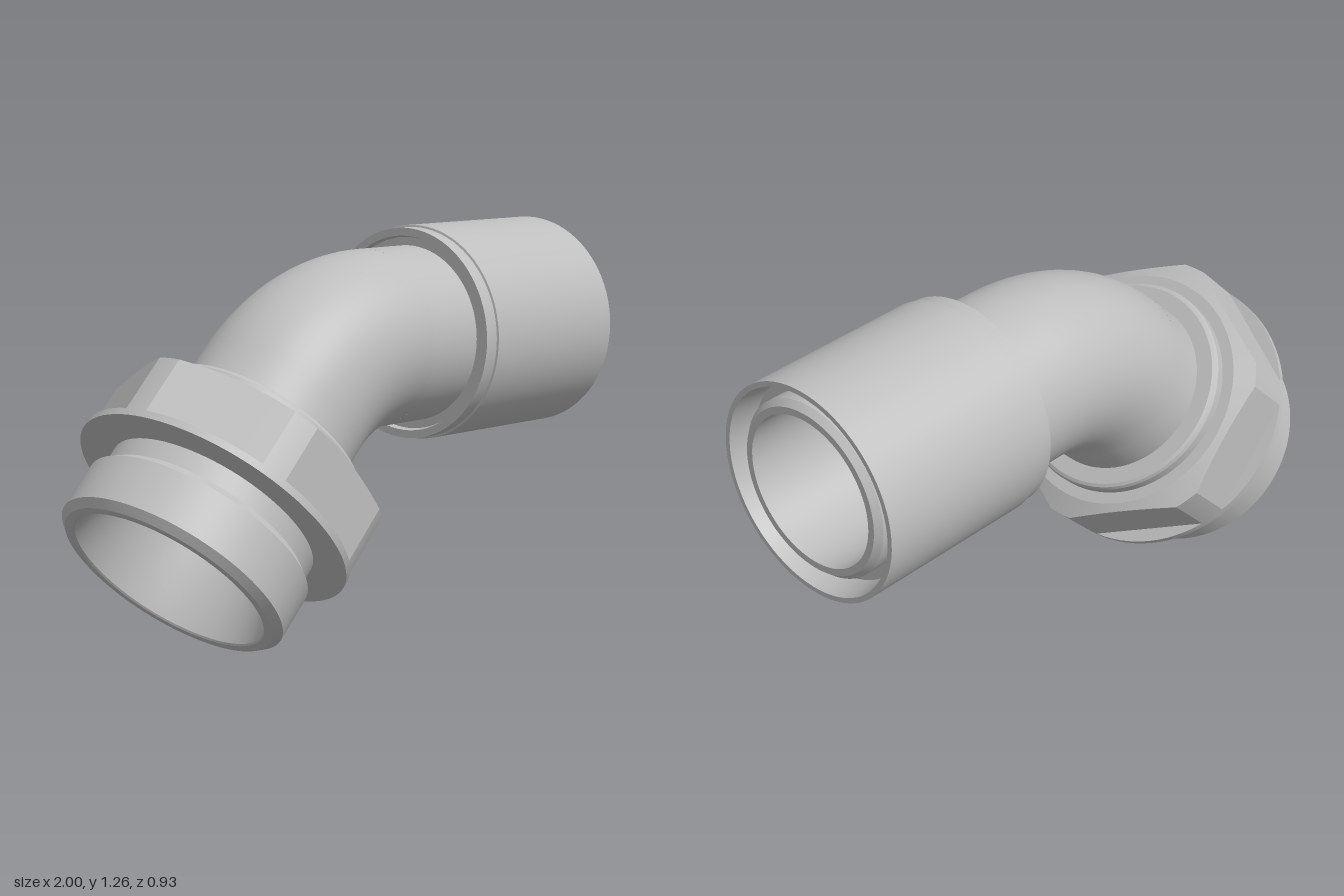
import * as THREE from 'three';
import { toCreasedNormals } from 'three/addons/utils/BufferGeometryUtils.js';

const steel = new THREE.MeshStandardMaterial({ color: 0xbebebe, side: THREE.DoubleSide });
steel.name = 'steel grey';

const BORE = 0.247, PIPE = 0.288, BEND = 0.58;   // radii of bore, pipe and bend
const BEND_X = 0.15, AXIS_Y = 0.917;             // start of the bend on the upper axis
const LEG = 0.69;                                // length of the straight lower leg

function addMesh(parent, name, geometry) {
  const mesh = new THREE.Mesh(geometry, steel);
  mesh.name = name;
  parent.add(mesh);
  return mesh;
}

// Revolved part from [radius, height] pairs, with sharp edges kept
function turned(profile) {
  const points = profile.map(([r, h]) => new THREE.Vector2(r, h));
  return toCreasedNormals(new THREE.LatheGeometry(points, 80), 0.3);
}

// Hexagon nut with rounded-off corners, a round washer face and a chamfered top
function nutGeometry() {
  const flat = 0.42, round = 0.463, low = 0.268, washer = 0.292, shoulder = 0.486, top = 0.512;
  const half = Math.acos(flat / round);          // half angle covered by one flat
  const angles = [];
  for (let side = 0; side < 6; side++) {
    const mid = Math.PI / 6 + side * Math.PI / 3;
    for (let i = 0; i < 12; i++) angles.push([mid - half + 2 * half * i / 12, mid]);
    for (let i = 0; i < 3; i++) angles.push([mid + half + (Math.PI / 3 - 2 * half) * i / 3, mid]);
  }
  const positions = [], index = [];
  const rows = 7;
  for (const [a, mid] of angles) {
    const r = Math.min(round, flat / Math.cos(a - mid));
    const edge = shoulder + (round - r) / (round - 0.395) * (top - shoulder);
    const section = [[0.33, low], [round, low], [round, washer], [r, washer], [r, edge], [0.395, top], [0.33, top]];
    for (const [radius, h] of section) positions.push(radius * Math.cos(a), h, -radius * Math.sin(a));
  }
  for (let i = 0; i < angles.length; i++) {
    const a = i * rows, b = ((i + 1) % angles.length) * rows;
    for (let j = 0; j < rows - 1; j++) {
      index.push(a + j, b + j, b + j + 1, a + j, b + j + 1, a + j + 1);
    }
  }
  const geometry = new THREE.BufferGeometry();
  geometry.setAttribute('position', new THREE.Float32BufferAttribute(positions, 3));
  geometry.setIndex(index);
  return toCreasedNormals(geometry, 0.3);
}

export function createModel() {
  const model = new THREE.Group();
  model.name = 'pipeElbow';

  // Curved pipe: outer wall and bore
  for (const [name, radius] of [['bendWall', PIPE], ['bendBore', BORE]]) {
    const bend = addMesh(model, name, new THREE.TorusGeometry(BEND, radius, 64, 32, Math.PI / 4));
    bend.rotation.z = Math.PI / 2;
    bend.position.set(BEND_X, AXIS_Y - BEND, 0);
  }

  // Upper leg, turned about the x axis
  const upper = new THREE.Group();
  upper.name = 'upperLeg';
  upper.rotation.z = -Math.PI / 2;
  upper.position.y = AXIS_Y;
  model.add(upper);
  addMesh(upper, 'upperPipe', turned([
    [PIPE, BEND_X], [PIPE, 0.97], [0.27, 0.99], [BORE, 0.99], [BORE, BEND_X],
  ]));
  addMesh(upper, 'sleeve', turned([
    [PIPE, 0.36], [0.315, 0.36], [0.32, 0.34], [0.346, 0.34], [0.346, 0.39], [0.353, 0.392],
    [0.353, 1], [0.336, 1], [0.322, 0.91], [PIPE, 0.91],
  ]));

  // Lower leg, turned about an axis sloping down at 45 degrees
  const lower = new THREE.Group();
  lower.name = 'lowerLeg';
  const c = Math.SQRT1_2;
  lower.rotation.z = -Math.PI / 4;
  lower.position.set(BEND_X - (BEND + LEG) * c, AXIS_Y - BEND + (BEND - LEG) * c, 0);
  model.add(lower);
  addMesh(lower, 'lowerPipe', turned([
    [BORE, LEG], [BORE, 0.28], [0.325, 0.005], [0.325, 0.1], [PIPE, 0.3], [PIPE, LEG],
  ].filter((p) => p[1] !== 0.1)));
  addMesh(lower, 'threadedEnd', turned([
    [0.325, 0.005], [0.33, 0], [0.357, 0], [0.381, 0.023], [0.381, 0.178], [0.35, 0.206], [0.35, 0.28],
  ]));
  addMesh(lower, 'hexNut', nutGeometry());

  // Rounded retaining ring on top of the nut
  addMesh(lower, 'retainingRing', turned([
    [0.357, 0.5], [0.357, 0.545], [0.352, 0.555], [0.342, 0.56], [PIPE, 0.56],
  ]));
  return model;
}
